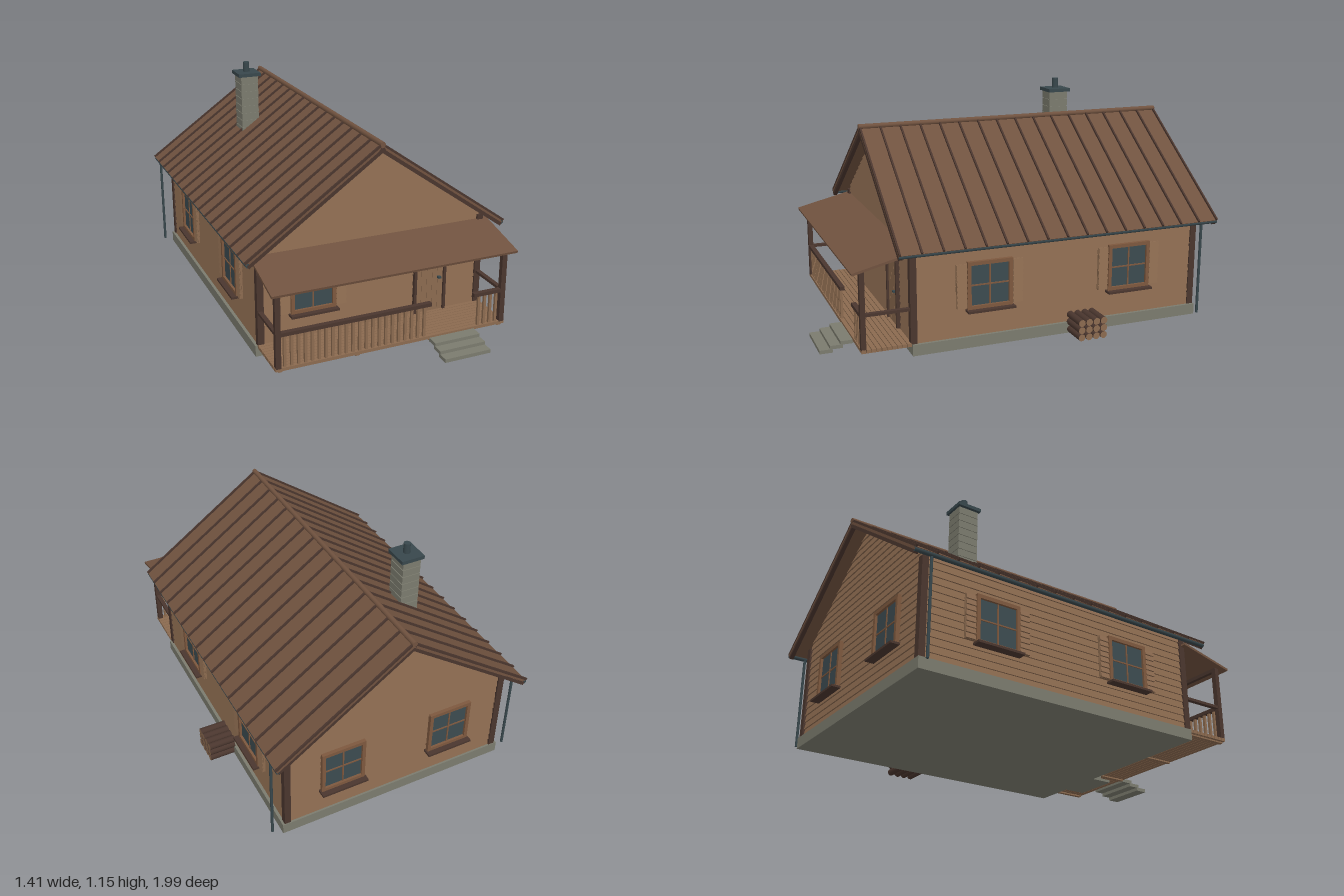
import * as THREE from 'three';

const mat = (name, color) => Object.assign(new THREE.MeshStandardMaterial({ color }), { name });
const M = {
  siding: mat('siding wood', 0x8b6a4f),
  roof: mat('roof brown', 0x70523f),
  trim: mat('dark trim', 0x4a362e),
  frame: mat('window frame wood', 0x7d583e),
  glass: mat('window glass', 0x3c4b50),
  stone: mat('grey stone', 0x7b7b6e),
  metal: mat('slate metal', 0x38474c),
};

function add(parent, name, material, geometry, x = 0, y = 0, z = 0) {
  const m = new THREE.Mesh(geometry, material);
  m.name = name;
  m.position.set(x, y, z);
  parent.add(m);
  return m;
}
const box = (p, name, material, w, h, d, x, y, z) =>
  add(p, name, material, new THREE.BoxGeometry(w, h, d), x, y, z);

function group(parent, name, x = 0, y = 0, z = 0, ry = 0) {
  const g = new THREE.Group();
  g.name = name;
  g.position.set(x, y, z);
  g.rotation.y = ry;
  parent.add(g);
  return g;
}

// Lapped board: thick at the bottom, thin at the top, back on z = 0
function board(bottomW, topW, h, d) {
  const g = new THREE.BoxGeometry(1, h, d);
  const p = g.attributes.position;
  for (let i = 0; i < p.count; i++) {
    const top = p.getY(i) > 0;
    p.setX(i, p.getX(i) * (top ? topW : bottomW));
    p.setZ(i, p.getZ(i) < 0 ? 0 : top ? d * 0.3 : d);
  }
  g.computeVertexNormals();
  return g;
}

const HALF = 0.58, Z0 = -0.9, Z1 = 0.59, ZC = (Z0 + Z1) / 2;
const BASE = 0.055, EAVE = 0.545, APEX = 0.955, SLOPE = 0.705;
const halfAt = y => (y <= EAVE ? HALF : Math.max(0.002, (APEX - y) / SLOPE));

function cladWall(parent, name, top, widthAt, x, z, ry) {
  const g = group(parent, name, x, 0, z, ry);
  const pitch = 0.036;
  for (let y = BASE; y < top - 0.005; y += pitch) {
    const h = Math.min(pitch, top - y);
    add(g, 'lapBoard', M.siding, board(widthAt(y), widthAt(y + h), h, 0.01), 0, y + h / 2, 0);
  }
}

function makeWindow(parent, x, z, ry, shutters) {
  const g = group(parent, 'window', x, 0.307, z, ry);
  const w = 0.228, h = 0.236, t = 0.018;
  box(g, 'glass', M.glass, w - t, h - t, 0.014, 0, 0, 0.007);
  for (const s of [-1, 1]) {
    box(g, 'frameSide', M.frame, t, h, 0.026, s * (w - t) / 2, 0, 0.013);
    box(g, 'frameRail', M.frame, w - 2 * t, t, 0.026, 0, s * (h - t) / 2, 0.013);
  }
  box(g, 'muntinUpright', M.frame, 0.007, h - 2 * t, 0.018, 0, 0, 0.009);
  box(g, 'muntinCross', M.frame, w - 2 * t, 0.007, 0.018, 0, 0, 0.009);
  box(g, 'sill', M.trim, w + 0.014, 0.011, 0.052, 0, -h / 2 - 0.004, 0.026);
  if (!shutters) return;
  for (const s of [-1, 1]) {
    const sh = group(g, 'shutter', s * (w / 2 + 0.028), 0, 0.008);
    box(sh, 'shutterPanel', M.siding, 0.054, 0.216, 0.008, 0, 0, 0.004);
    for (let i = 0; i < 8; i++)
      add(sh, 'louvre', M.siding, board(0.05, 0.05, 0.026, 0.01), 0, (i - 3.5) * 0.027, 0.008);
  }
}

function makeRoof(house) {
  const ang = Math.atan(SLOPE), L = 0.667 / Math.cos(ang);
  const z0 = -0.99, z1 = 0.675, zc = (z0 + z1) / 2, len = z1 - z0;
  for (const s of [-1, 1]) {
    const g = group(house, 'roofSlope', 0, 0.983, 0);
    g.rotation.z = -s * ang;
    box(g, 'roofPanel', M.roof, L, 0.014, len, s * L / 2, -0.007, zc);
    for (let i = 0; i <= 16; i++)
      box(g, 'roofSeam', M.trim, L, 0.011, 0.009, s * L / 2, 0.004, z0 + 0.004 + i * (len - 0.008) / 16);
    for (const z of [z0 + 0.01, z1 - 0.01])
      box(g, 'bargeBoard', M.trim, L, 0.018, 0.02, s * L / 2, -0.021, z);
    // Gutter and rear downpipe
    const gutter = add(house, 'gutter', M.metal, new THREE.CylinderGeometry(0.011, 0.011, len, 10), s * 0.656, 0.506, zc);
    gutter.rotation.x = Math.PI / 2;
    add(house, 'downpipe', M.metal, new THREE.CylinderGeometry(0.007, 0.007, 0.475, 10), s * 0.654, 0.265, -0.905);
  }
  const ridge = add(house, 'ridgeCap', M.roof, new THREE.CylinderGeometry(0.013, 0.013, len + 0.008, 10), 0, 0.987, zc);
  ridge.rotation.x = Math.PI / 2;
}

function makePorch(house) {
  const g = group(house, 'porch');
  // Plank floor
  for (let i = 0; i < 10; i++)
    box(g, 'floorPlank', M.siding, 1.19, 0.016, 0.021, 0, 0.053, 0.612 + i * 0.0243);
  for (const x of [-0.57, -0.19, 0.19, 0.57])
    box(g, 'floorJoist', M.siding, 0.02, 0.01, 0.235, x, 0.043, 0.72);
  // Sloping cover
  const cover = box(g, 'porchRoof', M.roof, 1.242, 0.012, 0.305, 0, 0.472, 0.734);
  cover.rotation.x = Math.atan2(0.068, 0.285);
  box(g, 'porchBeam', M.trim, 1.17, 0.018, 0.02, 0, 0.436, 0.83);
  for (const s of [-1, 1]) {
    box(g, 'porchPost', M.trim, 0.026, 0.385, 0.024, s * 0.58, 0.25, 0.83);
    box(g, 'sideRail', M.trim, 0.022, 0.014, 0.235, s * 0.58, 0.226, 0.715);
  }
  // Front railing, open at the steps
  for (const [a, b] of [[-0.58, 0.19], [0.42, 0.58]]) {
    box(g, 'frontRail', M.trim, b - a, 0.018, 0.024, (a + b) / 2, 0.225, 0.83);
    const n = Math.round((b - a) / 0.034);
    for (let i = 1; i < n; i++)
      box(g, 'baluster', M.siding, 0.013, 0.158, 0.013, a + (b - a) * i / n, 0.139, 0.83);
  }
}

export function createModel() {
  const root = new THREE.Group();
  root.name = 'cabin';
  const house = group(root, 'house', -0.035, 0, 0);

  // Foundation and solid gabled body
  box(house, 'foundation', M.stone, 1.21, BASE, 1.52, 0, BASE / 2, -0.16);
  const shape = new THREE.Shape([[-HALF, BASE], [HALF, BASE], [HALF, EAVE], [0, APEX], [-HALF, EAVE]]
    .map(p => new THREE.Vector2(...p)));
  add(house, 'walls', M.siding, new THREE.ExtrudeGeometry(shape, { depth: Z1 - Z0, bevelEnabled: false }), 0, 0, Z0);

  // Lapped cladding
  cladWall(house, 'frontCladding', APEX, y => 2 * halfAt(y), 0, Z1, 0);
  cladWall(house, 'backCladding', APEX, y => 2 * halfAt(y), 0, Z0, Math.PI);
  for (const s of [-1, 1]) {
    cladWall(house, 'sideCladding', EAVE, () => Z1 - Z0, s * HALF, ZC, s * Math.PI / 2);
    for (const z of [Z0, Z1])
      box(house, 'cornerBoard', M.trim, 0.032, 0.48, 0.032, s * (HALF - 0.002), 0.295, z);
    for (const z of [0.213, -0.528]) makeWindow(house, s * HALF, z, s * Math.PI / 2, true);
    makeWindow(house, s * 0.29, Z0, Math.PI, false);
  }
  makeWindow(house, -0.316, Z1, 0, true);

  makeRoof(house);
  makePorch(house);

  // Door
  const door = group(house, 'door', 0.305, 0.06, Z1);
  for (let i = 0; i < 5; i++)
    box(door, 'doorPlank', M.siding, 0.0285, 0.355, 0.016, (i - 2) * 0.0296, 0.178, 0.008);
  for (const s of [-1, 1]) box(door, 'doorJamb', M.trim, 0.014, 0.37, 0.026, s * 0.081, 0.185, 0.013);
  box(door, 'doorHead', M.trim, 0.148, 0.014, 0.026, 0, 0.363, 0.013);
  box(door, 'doorHandle', M.metal, 0.015, 0.01, 0.02, 0.05, 0.178, 0.022);

  // Stone steps in front of the porch and below the doorway
  for (let i = 0; i < 3; i++)
    box(house, 'step', M.stone, 0.242, 0.018, 0.062, 0.303, 0.009 + i * 0.0165, 0.969 - i * 0.05);
  for (let i = 0; i < 2; i++)
    box(house, 'innerStep', M.stone, 0.242, 0.014, 0.14 - i * 0.06, 0.303, 0.018 + i * 0.014, 0.67 - i * 0.03);

  // Chimney
  const chimney = group(house, 'chimney', -0.246, 0, -0.507);
  box(chimney, 'chimneyCore', M.stone, 0.088, 0.4, 0.1, 0, 0.87, 0);
  for (let i = 0; i < 10; i++)
    box(chimney, 'chimneyCourse', M.stone, 0.095, 0.036, 0.107, 0, 0.695 + i * 0.04, 0);
  box(chimney, 'chimneyCap', M.metal, 0.122, 0.018, 0.125, 0, 1.084, 0);
  add(chimney, 'flue', M.metal, new THREE.CylinderGeometry(0.017, 0.017, 0.055, 12), 0, 1.118, 0);

  // Firewood stack with pale cut ends
  const wood = group(house, 'firewood', 0.667, 0, -0.268);
  const logGeo = new THREE.CylinderGeometry(0.018, 0.018, 0.135, 10);
  logGeo.rotateZ(Math.PI / 2);
  for (let r = 0; r < 3; r++)
    for (let c = 0; c < 4; c++)
      add(wood, 'log', [M.trim, M.siding, M.siding], logGeo, 0, 0.02 + r * 0.037, (c - 1.5) * 0.039);

  return root;
}
